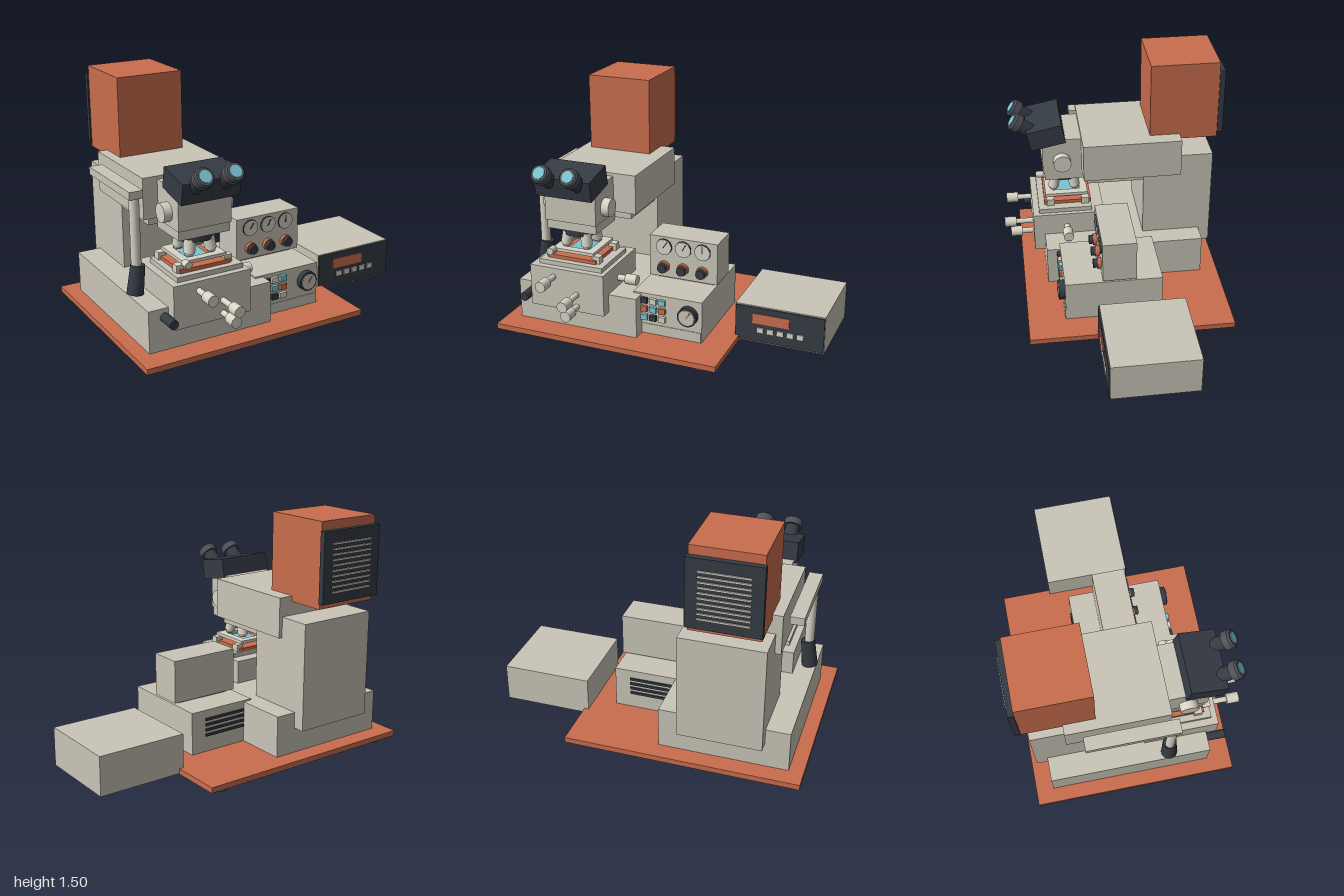
import * as THREE from 'three';

export function createModel() {
  const root = new THREE.Group();
  const paint = (name, color) => {
    const m = new THREE.MeshStandardMaterial({ color });
    m.name = name;
    return m;
  };
  const beige = paint('beige enamel', 0xc9c5b7);
  const orange = paint('orange enamel', 0xc96d4d);
  const dark = paint('dark slate', 0x353b44);
  const cyan = paint('cyan glass', 0x7ac5d2);
  const rubber = paint('grey rubber', 0x4e5157);
  const ivory = paint('ivory', 0xd8d4c6);

  const add = (name, geo, mat, x = 0, y = 0, z = 0, parent = root) => {
    const m = new THREE.Mesh(geo, mat);
    m.name = name;
    m.position.set(x, y, z);
    parent.add(m);
    return m;
  };
  // Box given by its limits on each axis
  const box = (name, mat, x0, x1, y0, y1, z0, z1) =>
    add(name, new THREE.BoxGeometry(x1 - x0, y1 - y0, z1 - z0), mat,
      (x0 + x1) / 2, (y0 + y1) / 2, (z0 + z1) / 2);
  // Cylinder between two points
  const rod = (name, mat, a, b, r0, r1 = r0, seg = 28) => {
    const p = new THREE.Vector3(...a), q = new THREE.Vector3(...b);
    const d = q.clone().sub(p);
    const m = add(name, new THREE.CylinderGeometry(r1, r0, d.length(), seg), mat);
    m.position.copy(p).add(q).multiplyScalar(0.5);
    m.quaternion.setFromUnitVectors(new THREE.Vector3(0, 1, 0), d.normalize());
    return m;
  };

  // Base plate and feet
  box('basePlate', orange, -1, 0.465, 0.035, 0.07, -0.68, 0.615);
  for (const x of [-0.88, 0.345])
    for (const z of [-0.58, 0.515]) rod('foot', rubber, [x, 0, z], [x, 0.035, z], 0.057);

  // Stand, column and arm
  box('standBase', beige, -0.91, -0.105, 0.07, 0.33, -0.567, 0.46);
  box('column', beige, -0.76, -0.24, 0.23, 0.9, -0.64, -0.19);
  box('arm', beige, -0.797, -0.217, 0.77, 1.02, -0.433, 0.198);
  box('armUnderPlate', beige, -0.757, -0.26, 0.725, 0.77, -0.19, 0.175);
  box('filterSlider', beige, -0.67, -0.4, 0.692, 0.725, 0.06, 0.18);

  // Lamp house with rear grille
  box('lampHouse', orange, -0.735, -0.313, 0.985, 1.505, -0.675, -0.24);
  box('ventPanel', dark, -0.744, -0.306, 1.02, 1.45, -0.71, -0.675);
  for (let i = 0; i < 10; i++) {
    const y = 1.08 + i * 0.032;
    box('ventSlat', ivory, -0.675, -0.375, y, y + 0.011, -0.718, -0.71);
  }

  // Optical head with side knobs
  box('opticalHead', beige, -0.705, -0.365, 0.76, 1.0, 0.19, 0.45);
  box('opticalHeadLower', beige, -0.7, -0.37, 0.703, 0.76, 0.175, 0.44);
  rod('headKnob', ivory, [-0.755, 0.845, 0.325], [-0.705, 0.845, 0.325], 0.057);
  rod('headKnob', ivory, [-0.365, 0.845, 0.325], [-0.315, 0.845, 0.325], 0.057);

  // Binocular body and eyepieces
  const bino = box('binocularBody', dark, -0.722, -0.352, 0.96, 1.09, 0.307, 0.535);
  bino.rotation.x = 0.2;
  for (const x of [-0.63, -0.443]) {
    const at = (t) => [x, 1.122 - t * 0.59, 0.63 - t * 0.807];
    rod('eyepieceTube', dark, at(0.2), at(0.04), 0.045);
    rod('eyecup', rubber, at(0.055), at(0.012), 0.059);
    rod('eyecupRim', rubber, at(0.012), at(0), 0.059, 0.05);
    rod('eyepieceLens', cyan, at(0.002), at(-0.004), 0.036);
  }

  // Nosepiece with splayed objectives
  rod('nosepiece', dark, [-0.535, 0.663, 0.31], [-0.535, 0.703, 0.31], 0.115);
  for (let i = 0; i < 4; i++) {
    const a = Math.PI / 4 + (i * Math.PI) / 2, c = Math.cos(a), s = Math.sin(a);
    const at = (r, y) => [-0.535 + c * r, y, 0.31 + s * r];
    rod('objective', ivory, at(0.083, 0.67), at(0.1, 0.595), 0.037, 0.034);
    rod('objectiveTip', beige, at(0.1, 0.595), at(0.104, 0.577), 0.03, 0.02);
  }

  // Specimen stage: glass in a frame over an orange carriage
  const frame = new THREE.Shape();
  frame.moveTo(-0.14, -0.14).lineTo(0.14, -0.14).lineTo(0.14, 0.14).lineTo(-0.14, 0.14).closePath();
  const hole = new THREE.Path();
  hole.moveTo(-0.09, -0.09).lineTo(-0.09, 0.09).lineTo(0.09, 0.09).lineTo(0.09, -0.09).closePath();
  frame.holes.push(hole);
  const frameGeo = new THREE.ExtrudeGeometry(frame, { depth: 0.02, bevelEnabled: false }).rotateX(-Math.PI / 2);
  add('stageFrame', frameGeo, ivory, -0.535, 0.555, 0.3);
  box('stageGlass', cyan, -0.6, -0.47, 0.546, 0.553, 0.19, 0.39);
  rod('condenser', beige, [-0.535, 0.53, 0.31], [-0.535, 0.546, 0.31], 0.06);
  box('stageCarriage', orange, -0.7, -0.375, 0.51, 0.533, 0.14, 0.45);
  box('stageTable', beige, -0.74, -0.315, 0.48, 0.51, 0.14, 0.49);
  for (const x of [-0.69, -0.38])
    for (const z of [0.18, 0.41]) box('stageBracket', ivory, x - 0.025, x + 0.025, 0.5, 0.556, z - 0.025, z + 0.025);
  rod('stageKnob', ivory, [-0.665, 0.568, 0.44], [-0.665, 0.568, 0.49], 0.022);

  // Focus block with stepped knobs
  box('focusBlock', beige, -0.785, -0.288, 0.213, 0.48, 0.06, 0.53);
  for (const [x, y, z] of [[-0.625, 0.422, 0.62], [-0.47, 0.327, 0.643], [-0.47, 0.247, 0.605]]) {
    rod('focusShaft', ivory, [x, y, 0.53], [x, y, z], 0.018);
    rod('focusKnob', ivory, [x, y, z], [x, y, z + 0.078], 0.034);
  }
  rod('sideShaft', ivory, [-0.288, 0.383, 0.31], [-0.235, 0.383, 0.31], 0.02);
  rod('sideKnob', ivory, [-0.235, 0.383, 0.31], [-0.16, 0.383, 0.31], 0.033);
  rod('baseKnob', dark, [-0.81, 0.275, 0.46], [-0.81, 0.275, 0.58], 0.028);

  // Hanging lever on the right-hand side
  box('leverRail', beige, -0.9, -0.815, 0.918, 0.966, -0.33, 0.24);
  rod('leverPole', ivory, [-0.855, 0.5, 0.2], [-0.855, 0.93, 0.2], 0.03);
  rod('leverGrip', dark, [-0.868, 0.335, 0.2], [-0.845, 0.51, 0.2], 0.05, 0.043);

  // Control console: buttons, dial, rear vents
  box('console', beige, -0.16, 0.29, 0.07, 0.34, -0.24, 0.375);
  box('consoleSkirt', beige, -0.105, 0.285, 0.075, 0.137, 0.375, 0.379);
  const keys = [[dark, ivory, cyan], [orange, cyan, orange], [cyan, dark, ivory]];
  keys.forEach((row, j) => row.forEach((mat, i) => {
    const x = -0.085 + i * 0.059, y = 0.297 - j * 0.056;
    box('consoleButton', mat, x - 0.022, x + 0.022, y - 0.018, y + 0.018, 0.375, 0.395);
  }));
  rod('dial', dark, [0.205, 0.243, 0.375], [0.205, 0.243, 0.412], 0.062);
  rod('dialFace', beige, [0.205, 0.243, 0.412], [0.205, 0.243, 0.417], 0.05);
  const pointer = add('dialPointer', new THREE.BoxGeometry(0.008, 0.045, 0.005), orange, 0.214, 0.258, 0.419);
  pointer.rotation.z = -0.55;
  for (let i = 0; i < 4; i++) {
    const y = 0.17 + i * 0.034;
    box('consoleVent', dark, -0.1, 0.19, y, y + 0.016, -0.249, -0.24);
  }

  // Meter box with gauges and knobs
  box('meterPad', beige, -0.11, 0.26, 0.34, 0.357, -0.04, 0.11);
  box('meterBox', beige, -0.15, 0.3, 0.357, 0.627, -0.073, 0.14);
  [-0.053, 0.075, 0.203].forEach((x, i) => {
    rod('gaugeRim', dark, [x, 0.56, 0.14], [x, 0.56, 0.146], 0.053);
    rod('gaugeFace', ivory, [x, 0.56, 0.146], [x, 0.56, 0.149], 0.049);
    const a = [-0.6, -0.5, 0][i];
    const n = add('gaugeNeedle', new THREE.BoxGeometry(0.007, 0.045, 0.003), dark,
      x - Math.sin(a) * 0.015, 0.56 + Math.cos(a) * 0.015, 0.15);
    n.rotation.z = a;
    rod('meterKnobCollar', orange, [x, 0.428, 0.14], [x, 0.428, 0.164], 0.037);
    rod('meterKnob', dark, [x, 0.428, 0.164], [x, 0.428, 0.19], 0.029);
  });

  // Separate power unit
  box('powerUnit', beige, 0.437, 1, 0.04, 0.284, -0.358, 0.18);
  box('powerPanel', dark, 0.441, 0.997, 0.05, 0.277, 0.18, 0.189);
  box('powerDisplay', orange, 0.55, 0.782, 0.172, 0.238, 0.189, 0.194);
  for (let i = 0; i < 5; i++) {
    const x = 0.6 + i * 0.063;
    box('powerButton', ivory, x - 0.021, x + 0.021, 0.112, 0.146, 0.189, 0.197);
  }
  return root;
}
